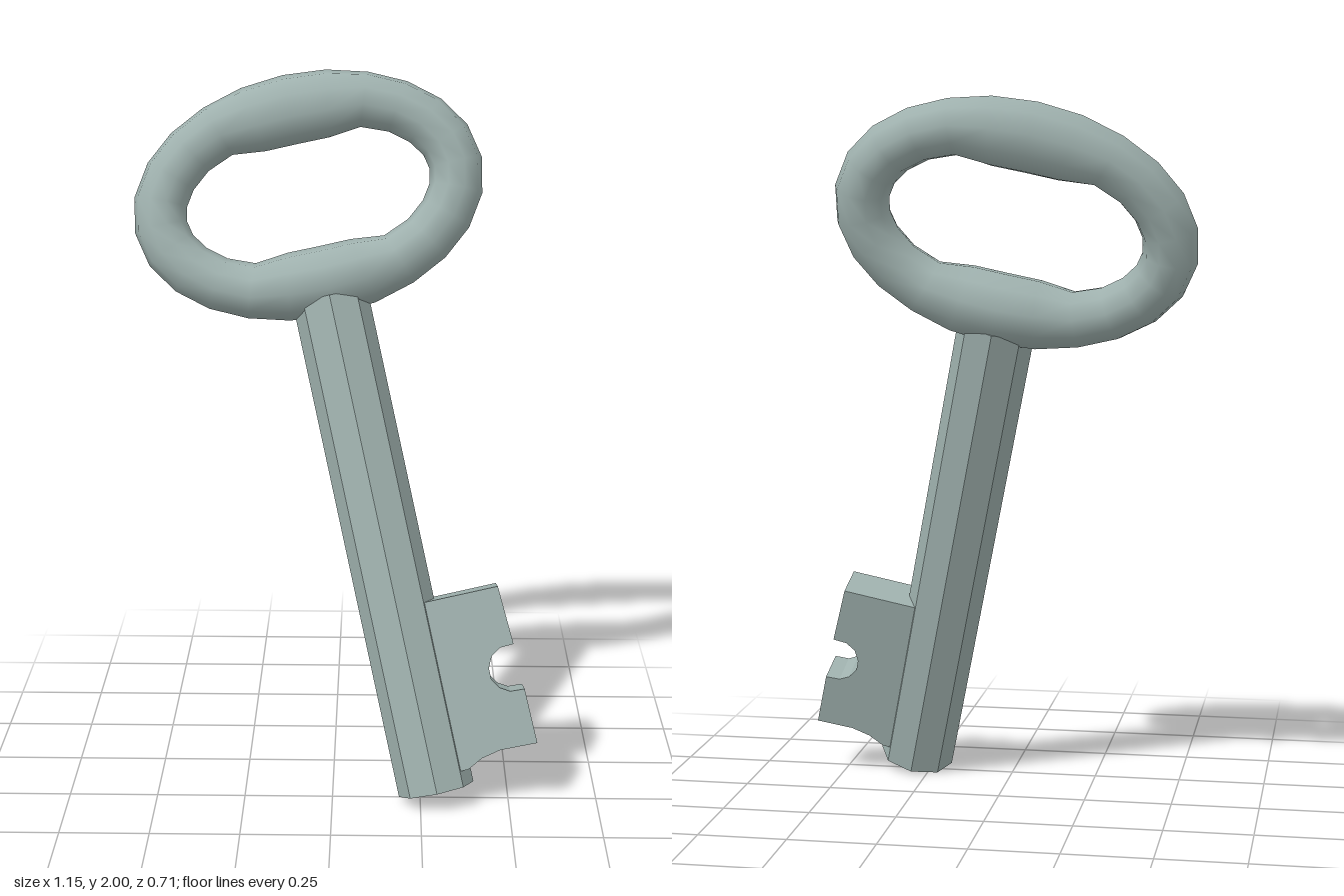
import * as THREE from 'three';

// Closed loop of elliptical cross-sections with thickened parts at top and bottom
function bowGeometry() {
  const N = 24, M = 10, a = 0.428, b = 0.27, pos = [], idx = [];
  const bump = [1, 0.85, 0.12];
  for (let i = 0; i < N; i++) {
    const t = (i / N) * Math.PI * 2;
    const top = bump[Math.abs(i - N / 4)] || 0;
    const low = bump[Math.abs(i - (3 * N) / 4)] || 0;
    const n = new THREE.Vector2(Math.cos(t) / a, Math.sin(t) / b).normalize();
    const r = 0.076 + 0.024 * (top + low);      // radius in the plane of the bow
    const rw = 0.08 + 0.03 * low + 0.004 * top; // radius across it
    const shift = -0.022 * (top + low);
    for (let j = 0; j < M; j++) {
      const p = (j / M) * Math.PI * 2;
      const d = shift + r * Math.cos(p);
      pos.push(a * Math.cos(t) + n.x * d, b * Math.sin(t) + n.y * d, rw * Math.sin(p));
      const i2 = (i + 1) % N, j2 = (j + 1) % M;
      const A = i * M + j, B = i2 * M + j, C = i2 * M + j2, D = i * M + j2;
      idx.push(A, B, C, A, C, D);
    }
  }
  const g = new THREE.BufferGeometry();
  g.setAttribute('position', new THREE.Float32BufferAttribute(pos, 3));
  g.setIndex(idx);
  g.computeVertexNormals();
  return g;
}

export function createModel() {
  const metal = new THREE.MeshStandardMaterial({ color: 0x9fb1ae });
  metal.name = 'greyMetal';
  const model = new THREE.Group();
  model.name = 'key';

  const add = (name, geometry, y = 0) => {
    const mesh = new THREE.Mesh(geometry, metal);
    mesh.name = name;
    mesh.position.y = y;
    model.add(mesh);
  };

  // Eight-sided shaft, slightly flattened
  const length = 1.43;
  const shaft = new THREE.CylinderGeometry(1, 1, length, 8).toNonIndexed();
  shaft.scale(0.108, 1, 0.097);
  shaft.computeVertexNormals();
  add('shaft', shaft, length / 2);

  // Oval bow
  add('bow', bowGeometry(), 1.725);

  // Bit with a rounded notch and a curved lower edge
  const outline = [
    [0, 0.53], [0, 0.045], [0.1, 0.045], [0.145, 0.068], [0.2, 0.08], [0.306, 0.078],
    [0.303, 0.234], [0.262, 0.236], [0.235, 0.252], [0.217, 0.28], [0.217, 0.312],
    [0.232, 0.344], [0.26, 0.362], [0.299, 0.364], [0.29, 0.532],
  ].map(([x, y]) => new THREE.Vector2(x, y));
  const bit = new THREE.ExtrudeGeometry(new THREE.Shape(outline), { depth: 0.127, bevelEnabled: false });
  bit.translate(0, 0, -0.0635);
  add('bit', bit);

  // Leaning pose
  model.position.set(0.295, 0.035, 0.27);
  model.rotation.set(-0.2755, 0, 0.218);
  const root = new THREE.Group();
  root.name = 'leaningKey';
  root.add(model);
  return root;
}
